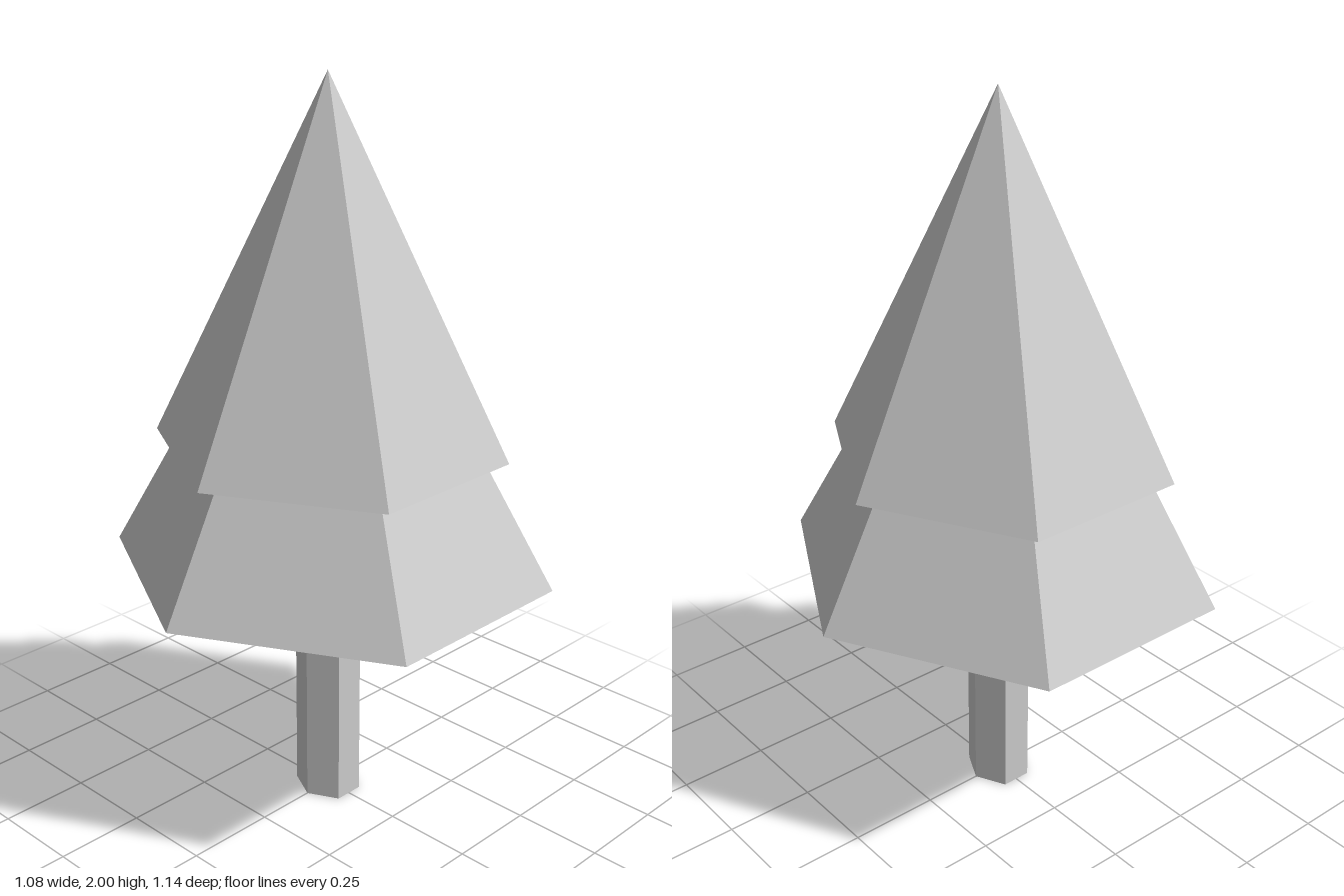
import * as THREE from 'three';

const SIDES = 6;

export function createModel() {
  const tree = new THREE.Group();
  tree.name = 'pineTree';
  const material = new THREE.MeshStandardMaterial({ color: 0xcccccc, flatShading: true });

  // Six-sided solid with a corner facing front, stretched to the given half width and half depth
  function addPart(name, topRadius, halfWidth, halfDepth, bottom, top) {
    const height = top - bottom;
    const geometry = topRadius === 0
      ? new THREE.ConeGeometry(1, height, SIDES)
      : new THREE.CylinderGeometry(topRadius, 1, height, SIDES);
    geometry.scale(halfWidth / Math.cos(Math.PI / SIDES), 1, halfDepth);
    geometry.translate(0, bottom + height / 2, 0);
    const mesh = new THREE.Mesh(geometry, material);
    mesh.name = name;
    tree.add(mesh);
  }

  // Straight trunk, its top set into the foliage
  addPart('trunk', 1, 0.083, 0.083, 0, 0.7);

  // Two overlapping tiers of foliage
  addPart('lowerFoliage', 0, 0.54, 0.572, 0.69, 1.77);
  addPart('upperFoliage', 0, 0.425, 0.456, 1.03, 2);

  return tree;
}
